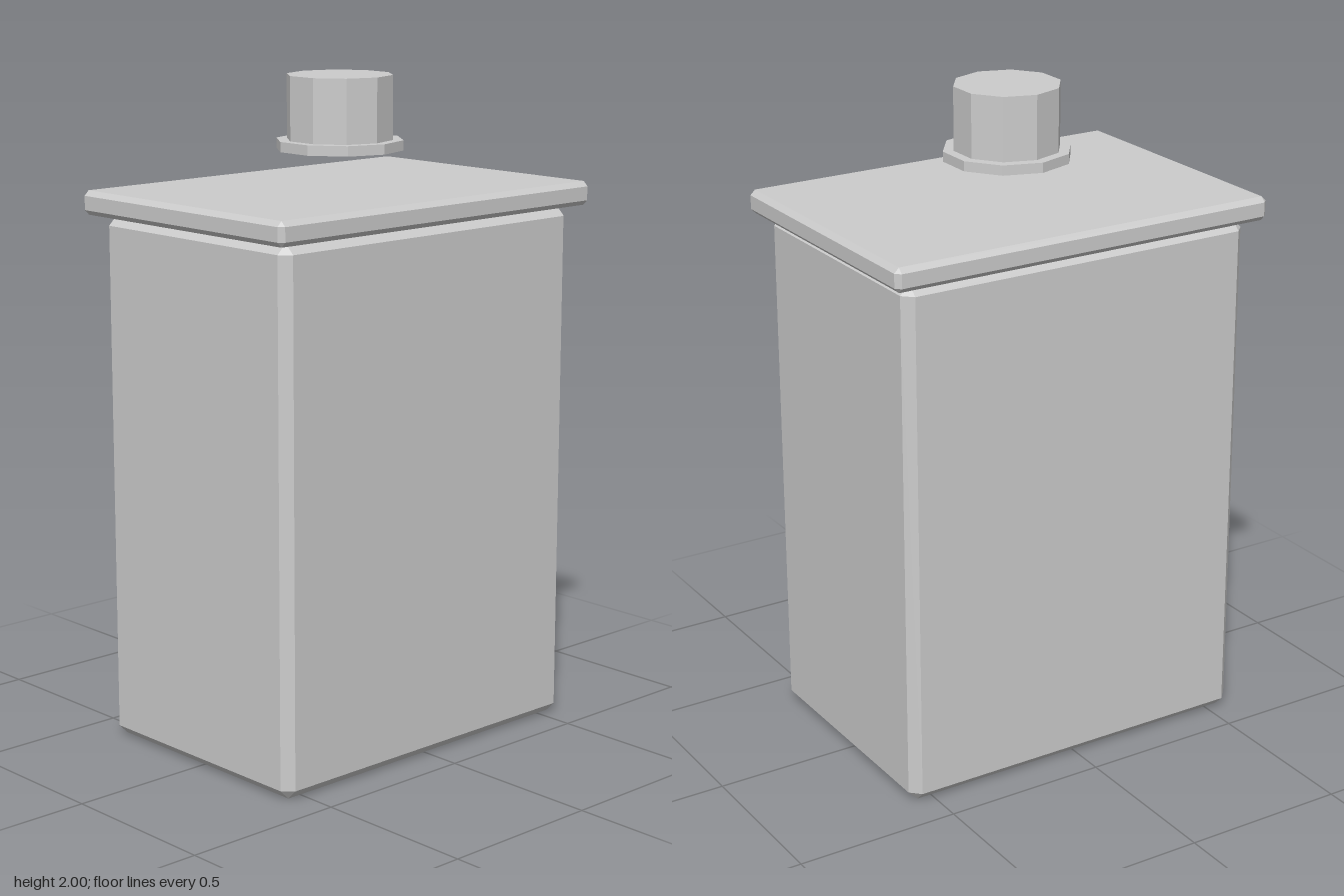
import * as THREE from 'three';
import { ConvexGeometry } from 'three/addons/geometries/ConvexGeometry.js';

// Box with single-step chamfers on every edge, standing on y = 0
function chamferBox(w, h, d, c) {
  const points = [];
  for (const sx of [-1, 1]) for (const sy of [-1, 1]) for (const sz of [-1, 1]) {
    const x = w / 2, y = h / 2, z = d / 2;
    points.push(
      new THREE.Vector3(sx * x, sy * (y - c), sz * (z - c)),
      new THREE.Vector3(sx * (x - c), sy * y, sz * (z - c)),
      new THREE.Vector3(sx * (x - c), sy * (y - c), sz * z)
    );
  }
  return new ConvexGeometry(points).translate(0, h / 2, 0);
}

// Ten-sided disc with a corner facing the front, standing on y = 0
const decagon = (r, h) => new THREE.CylinderGeometry(r, r, h, 10).translate(0, h / 2, 0);

export function createModel() {
  const model = new THREE.Group();
  model.name = 'canister';
  const grey = new THREE.MeshStandardMaterial({ color: 0xcccccc, flatShading: true });
  grey.name = 'plain grey';

  const add = (name, geometry, y) => {
    const mesh = new THREE.Mesh(geometry, grey);
    mesh.name = name;
    mesh.position.y = y;
    model.add(mesh);
  };

  // Container and overhanging lid
  add('body', chamferBox(1.15, 1.6, 0.8, 0.03), 0);
  add('lid', chamferBox(1.244, 0.072, 0.876, 0.015), 1.6);

  // Knob raised clear of the lid
  add('knobFlange', decagon(0.191, 0.03), 1.78);
  add('knob', decagon(0.159, 0.19), 1.81);

  return model;
}
